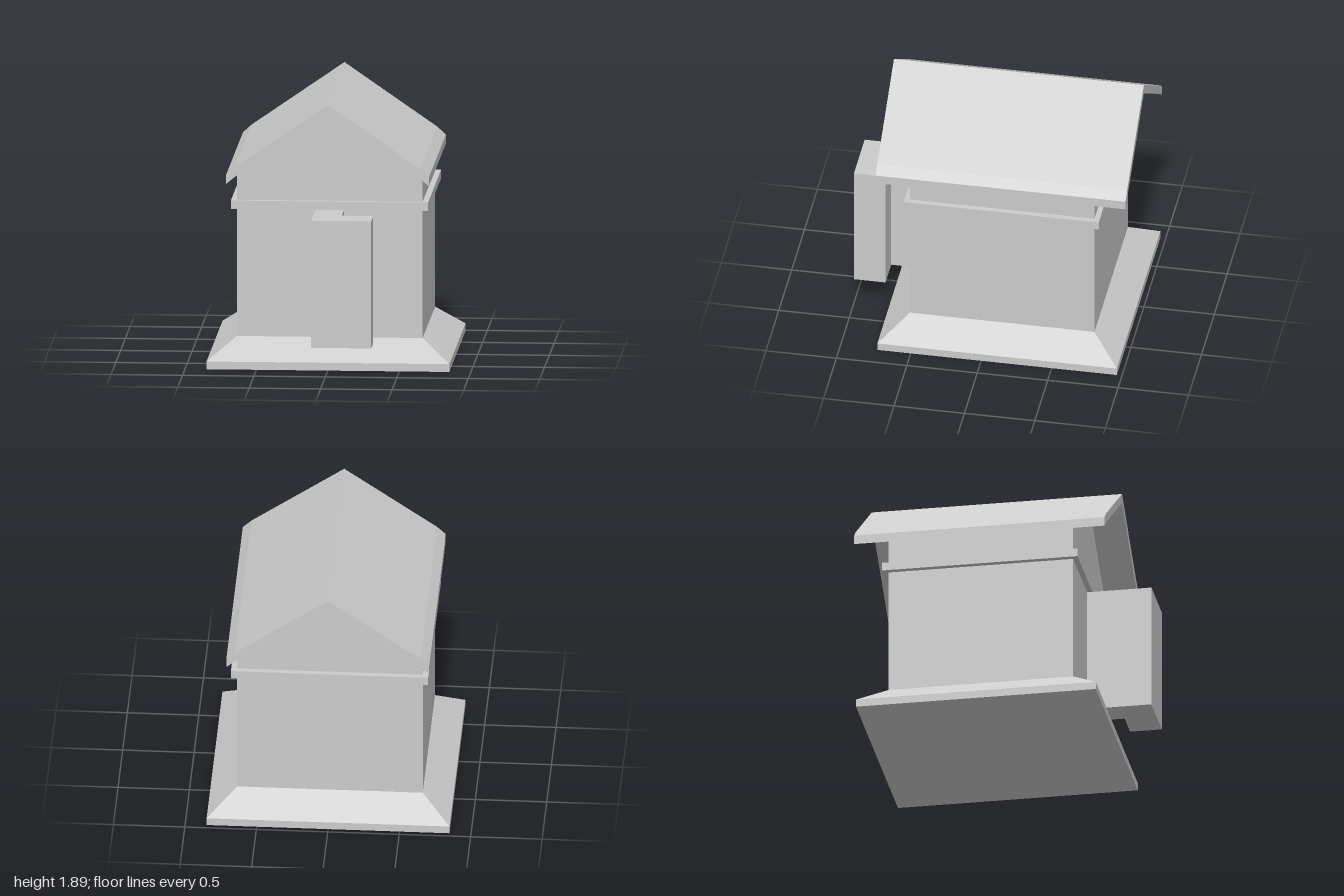
import * as THREE from 'three';

const CENTRE_Z = -0.113; // the house sits slightly behind the origin, the door reaches forward
const WALL = { x: 0.65, z: 0.655, bottom: 0.205 };

const material = new THREE.MeshStandardMaterial({ color: 0xcccccc, flatShading: true });

function part(name, geometry, x = 0, y = 0, z = 0) {
  const mesh = new THREE.Mesh(geometry, material);
  mesh.name = name;
  mesh.position.set(x, y, z);
  return mesh;
}

// Box given by its limits on each axis
function block(name, x0, x1, y0, y1, z0, z1) {
  return part(name, new THREE.BoxGeometry(x1 - x0, y1 - y0, z1 - z0),
    (x0 + x1) / 2, (y0 + y1) / 2, (z0 + z1) / 2);
}

// Outline in x and y, extruded along z and centred on the house
function extrusion(name, points, depth) {
  const shape = new THREE.Shape(points.map(([x, y]) => new THREE.Vector2(x, y)));
  const geometry = new THREE.ExtrudeGeometry(shape, { depth, bevelEnabled: false });
  return part(name, geometry, 0, 0, CENTRE_Z - depth / 2);
}

// Sloping plinth: a box whose top is drawn in to meet the walls
function slopedPlinth(halfX, halfZ, bottom, top) {
  const geometry = new THREE.BoxGeometry(2 * halfX, top - bottom, 2 * halfZ);
  const p = geometry.attributes.position;
  for (let i = 0; i < p.count; i++) {
    if (p.getY(i) > 0) {
      p.setX(i, Math.sign(p.getX(i)) * WALL.x);
      p.setZ(i, Math.sign(p.getZ(i)) * WALL.z);
    }
  }
  geometry.computeVertexNormals();
  return part('plinthSlope', geometry, 0, (bottom + top) / 2, CENTRE_Z);
}

export function createModel() {
  const house = new THREE.Group();
  house.name = 'house';

  // Base
  house.add(block('plinthSlab', -0.85, 0.85, 0, 0.055, CENTRE_Z - 0.85, CENTRE_Z + 0.85));
  house.add(slopedPlinth(0.85, 0.85, 0.055, WALL.bottom));

  // Walls with both gables
  house.add(extrusion('walls', [
    [-WALL.x, WALL.bottom], [WALL.x, WALL.bottom],
    [WALL.x, 1.37], [0, 1.82], [-WALL.x, 1.37],
  ], 2 * WALL.z));

  // Band around the walls
  house.add(block('band', -0.69, 0.69, 1.11, 1.17, CENTRE_Z - 0.693, CENTRE_Z + 0.693));

  // Roof with flared eaves and an overhang at both ends
  house.add(extrusion('roof', [
    [0, 1.89], [-0.65, 1.44], [-0.71, 1.385], [-0.71, 1.32], [-0.65, 1.37],
    [0, 1.82], [0.65, 1.37], [0.71, 1.32], [0.71, 1.385], [0.65, 1.44],
  ], 1.774));

  // L-shaped entrance: a stem from the wall and a wider front
  const entrance = new THREE.Group();
  entrance.name = 'entrance';
  const plan = [[-0.1, -0.53], [-0.1, -1], [0.32, -1], [0.32, -0.775], [0.1, -0.775], [0.1, -0.53]];
  const shape = new THREE.Shape(plan.map(([x, y]) => new THREE.Vector2(x, y)));
  const geometry = new THREE.ExtrudeGeometry(shape, { depth: 0.9, bevelEnabled: false });
  geometry.rotateX(-Math.PI / 2); // plan y becomes -z, depth becomes height
  entrance.add(part('entranceBody', geometry, 0, WALL.bottom, 0));
  house.add(entrance);

  return house;
}
